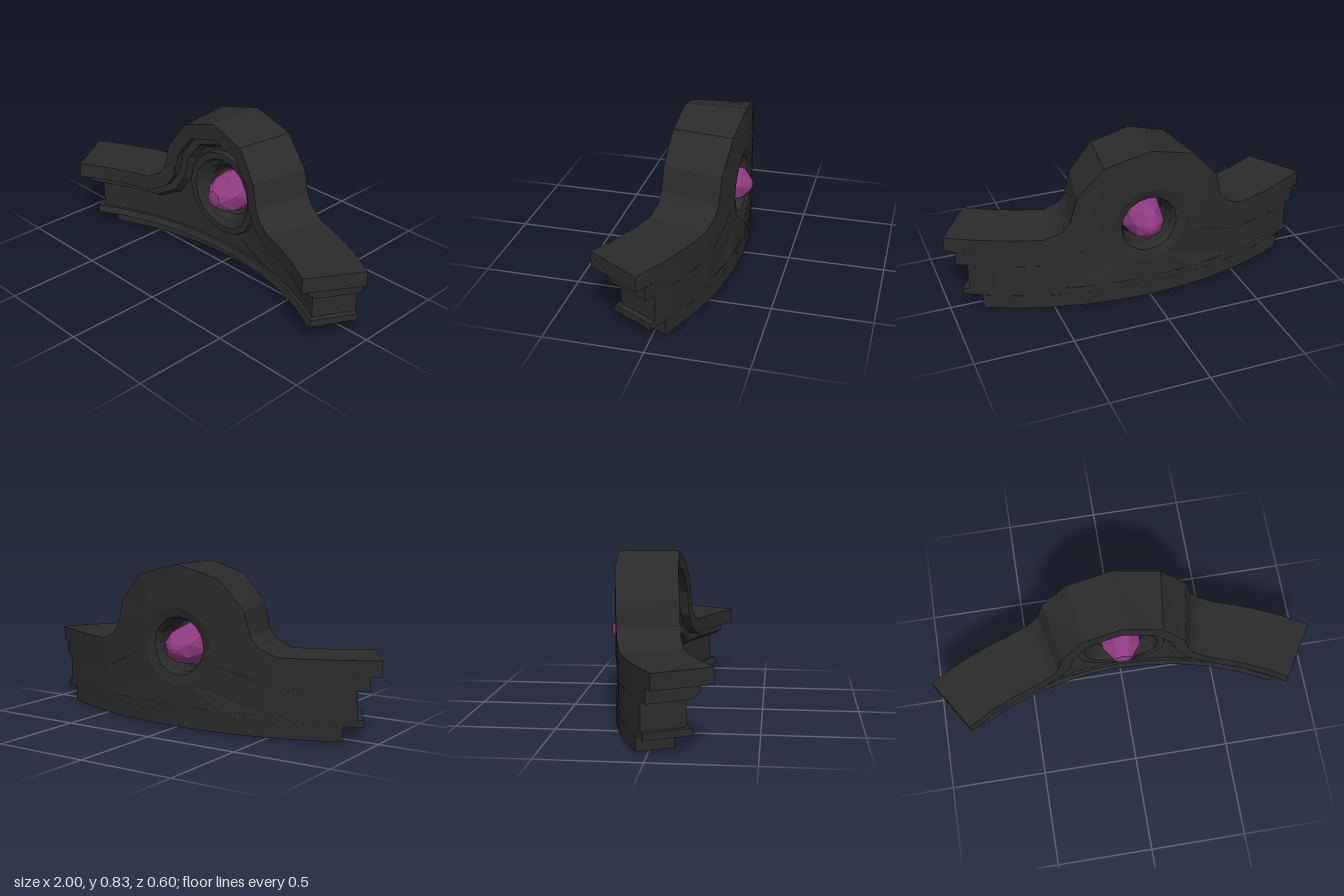
import * as THREE from 'three';

const BACK = 1.9;       // radius of the curved back face
const CENTRE_Z = 1.645; // axis of the curve
const HUB_Y = 0.415;    // height of the round opening

// Wraps flat coordinates (u measured on the back face) onto a cylinder of radius r.
function bend(u, y, r) {
  const a = Math.asin(u / BACK);
  return new THREE.Vector3(r * Math.sin(a), y, CENTRE_Z - r * Math.cos(a));
}

// Joins cross-sections with quads; optional fan caps on both ends.
function loft(sections, { closeSections = false, wrap = false, caps = false }) {
  const pos = [];
  const tri = (...pts) => pts.forEach((p) => pos.push(p.x, p.y, p.z));
  const n = sections.length, m = sections[0].length;
  for (let i = 0; i < (wrap ? n : n - 1); i++) {
    const s = sections[i], t = sections[(i + 1) % n];
    for (let j = 0; j < (closeSections ? m : m - 1); j++) {
      const k = (j + 1) % m;
      tri(s[j], s[k], t[k]);
      tri(s[j], t[k], t[j]);
    }
  }
  if (caps) {
    const s = sections[0], e = sections[n - 1];
    for (let j = 1; j < m - 1; j++) {
      tri(s[0], s[j + 1], s[j]);
      tri(e[0], e[j], e[j + 1]);
    }
  }
  const g = new THREE.BufferGeometry();
  g.setAttribute('position', new THREE.Float32BufferAttribute(pos, 3));
  g.computeVertexNormals();
  return g;
}

// Right half of the top outline, from the crown to the end.
const outline = [[0, 0.83], [0.24, 0.77], [0.375, 0.62], [0.41, 0.49], [0.45, 0.44],
  [0.54, 0.4], [0.7, 0.4], [0.85, 0.4], [1, 0.4]];

// The outline moved inward by d with mitred corners.
function inset(d, end) {
  const normal = (a, b) => new THREE.Vector2(b[1] - a[1], a[0] - b[0]).normalize();
  return outline.map((p, i) => {
    const last = outline.length - 1;
    if (i === 0) return [0, p[1] - d * 1.03];
    if (i === last) return [end, p[1] - d];
    const n1 = normal(outline[i - 1], p), n2 = normal(p, outline[i + 1]);
    const mid = n1.clone().add(n2).normalize();
    const k = d / mid.dot(n1);
    return [p[0] + mid.x * k, p[1] + mid.y * k];
  });
}

// Left-to-right path from a right half that starts on the centre line.
const mirrored = (half) => [...half.slice(1).reverse().map(([u, y]) => [-u, y]), ...half];

// Moulding that follows the arched outline; profile is [inset, radius].
function archMoulding(profile, end) {
  const paths = profile.map(([d]) => mirrored(inset(d, end)));
  const sections = paths[0].map((_, i) =>
    profile.map(([, r], j) => bend(paths[j][i][0], paths[j][i][1], r)));
  return loft(sections, { closeSections: true, caps: true });
}

// Straight course bent along the curve; profile is [y, radius].
function course(profile, from, to, steps) {
  const sections = [];
  for (let i = 0; i <= steps; i++) {
    const u = from + (to - from) * i / steps;
    sections.push(profile.map(([y, r]) => bend(u, y, r)));
  }
  return loft(sections, { closeSections: true, caps: true });
}
const block = (y0, y1, r0, r1 = r0) => [[y1, BACK], [y1, r1], [y0, r0], [y0, BACK]];

// Central wall with a stepped round frame and a hole right through.
function centralWall() {
  const half = [...inset(0.15, 0.9).slice(0, 6), [0.508, 0.11], [0.25, 0.11], [0, 0.11]];
  const loop = [...half, ...half.slice(1, -1).reverse().map(([u, y]) => [-u, y])];
  // frame steps as [ring radius, depth radius], front to back
  const rings = [[0.237, 1.675], [0.23, 1.65], [0.195, 1.65], [0.18, 1.672],
    [0.16, 1.68], [0.137, 1.71], [0.137, 1.86], [0.15, 1.885], [0.2, BACK]];
  const sections = loop.map(([u, y], i) => {
    const a = Math.PI / 2 - i * 2 * Math.PI / loop.length;
    const ring = rings.map(([q, r]) =>
      bend(q * Math.cos(a) * BACK / r, HUB_Y + q * Math.sin(a), r));
    return [bend(u, y, 1.675), ...ring, bend(u, y, BACK)];
  });
  return loft(sections, { wrap: true });
}

// Long faceted crystal, each ring turned against the last.
function crystal() {
  const profile = [[0, -0.298], [0.028, -0.29], [0.08, -0.245], [0.116, -0.12],
    [0.1, 0], [0.045, 0.066], [0, 0.074]].map(([r, h]) => new THREE.Vector2(r, h));
  const g = new THREE.LatheGeometry(profile, 7);
  const p = g.attributes.position, v = new THREE.Vector3(), up = new THREE.Vector3(0, 1, 0);
  for (let i = 0; i < p.count; i++) {
    v.fromBufferAttribute(p, i);
    v.applyAxisAngle(up, (i % profile.length) * Math.PI / 7);
    p.setXYZ(i, v.x, v.y, v.z);
  }
  g.rotateX(Math.PI / 2);
  return g.translate(0.003, 0.41, 0);
}

export function createModel() {
  const group = new THREE.Group();
  const stone = new THREE.MeshStandardMaterial({ color: 0x2b2b2b, flatShading: true });
  const purple = new THREE.MeshStandardMaterial({ color: 0x8e3a80, flatShading: true });
  const add = (name, geometry, material = stone) => {
    const mesh = new THREE.Mesh(geometry, material);
    mesh.name = name;
    group.add(mesh);
  };

  // Arched top
  add('cornice', archMoulding([[0, BACK], [0, 1.585], [0.08, 1.585], [0.08, BACK]], 1));
  add('underMoulding', archMoulding(
    [[0.08, BACK], [0.08, 1.632], [0.125, 1.632], [0.15, 1.675], [0.15, BACK]], 0.953));

  // Body
  add('centralWall', centralWall());
  add('rightWall', course(block(0.11, 0.25, 1.675), -0.9, -0.508, 3));
  add('leftWall', course(block(0.11, 0.25, 1.675), 0.508, 0.9, 3));

  // Foot
  add('footLip', course(block(0.075, 0.11, 1.648, 1.66), -0.928, 0.928, 10));
  add('base', course(block(0, 0.075, 1.711), -0.84, 0.84, 10));

  add('crystal', crystal(), purple);
  return group;
}
